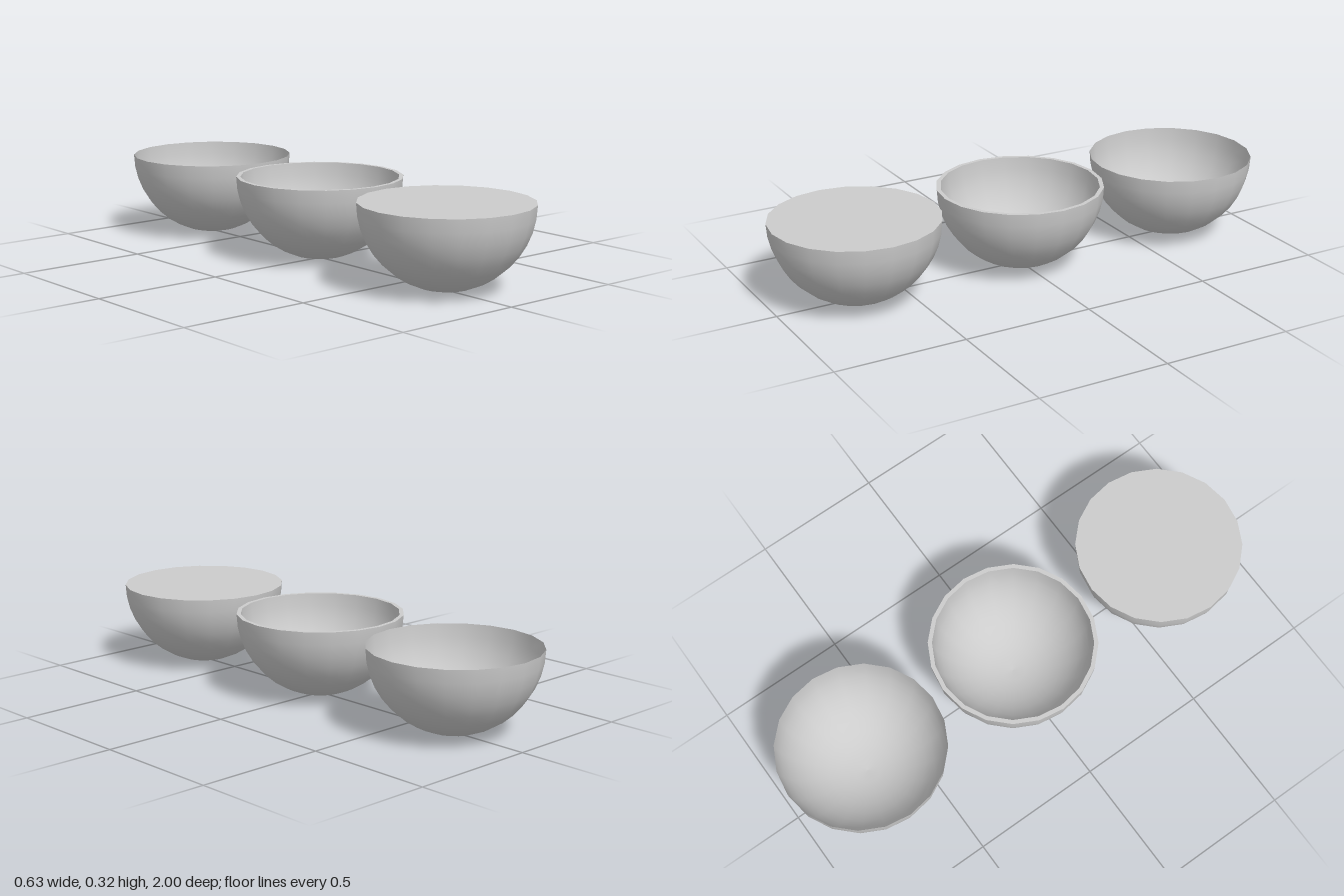
import * as THREE from 'three';

const RADIUS = 0.3175;
const INNER = RADIUS * 0.95;
const SPACING = 0.6825;
const SIDES = 20;
const RINGS = 10;

// Half sphere hanging below y = RADIUS, swept as a lathe
function hemisphere(radius, inward = false) {
  const points = [];
  for (let i = 0; i <= RINGS; i++) {
    const a = (i / RINGS) * Math.PI / 2;
    points.push(new THREE.Vector2(radius * Math.sin(a), RADIUS - radius * Math.cos(a)));
  }
  if (inward) points.reverse();
  return new THREE.LatheGeometry(points, SIDES);
}

// Lay a flat disc or ring face up at rim height
function atRim(geometry) {
  return geometry.rotateX(-Math.PI / 2).translate(0, RADIUS, 0);
}

export function createModel() {
  const model = new THREE.Group();
  const solid = new THREE.MeshStandardMaterial({ color: 0xcccccc });
  const thin = new THREE.MeshStandardMaterial({ color: 0xcccccc, side: THREE.DoubleSide });

  function addBowl(name, z, parts) {
    const bowl = new THREE.Group();
    bowl.name = name;
    bowl.position.z = z;
    for (const [partName, geometry, material] of parts) {
      const mesh = new THREE.Mesh(geometry, material);
      mesh.name = partName;
      bowl.add(mesh);
    }
    model.add(bowl);
  }

  // Front: closed with a flat lid
  addBowl('solidHemisphere', SPACING, [
    ['solidDome', hemisphere(RADIUS), solid],
    ['flatCap', atRim(new THREE.CircleGeometry(RADIUS, SIDES)), solid],
  ]);

  // Middle: bowl with wall thickness
  addBowl('thickBowl', 0, [
    ['outerWall', hemisphere(RADIUS), solid],
    ['innerWall', hemisphere(INNER, true), solid],
    ['rim', atRim(new THREE.RingGeometry(INNER, RADIUS, SIDES)), solid],
  ]);

  // Back: open, paper-thin shell
  addBowl('thinBowl', -SPACING, [
    ['shell', hemisphere(RADIUS), thin],
  ]);

  return model;
}
